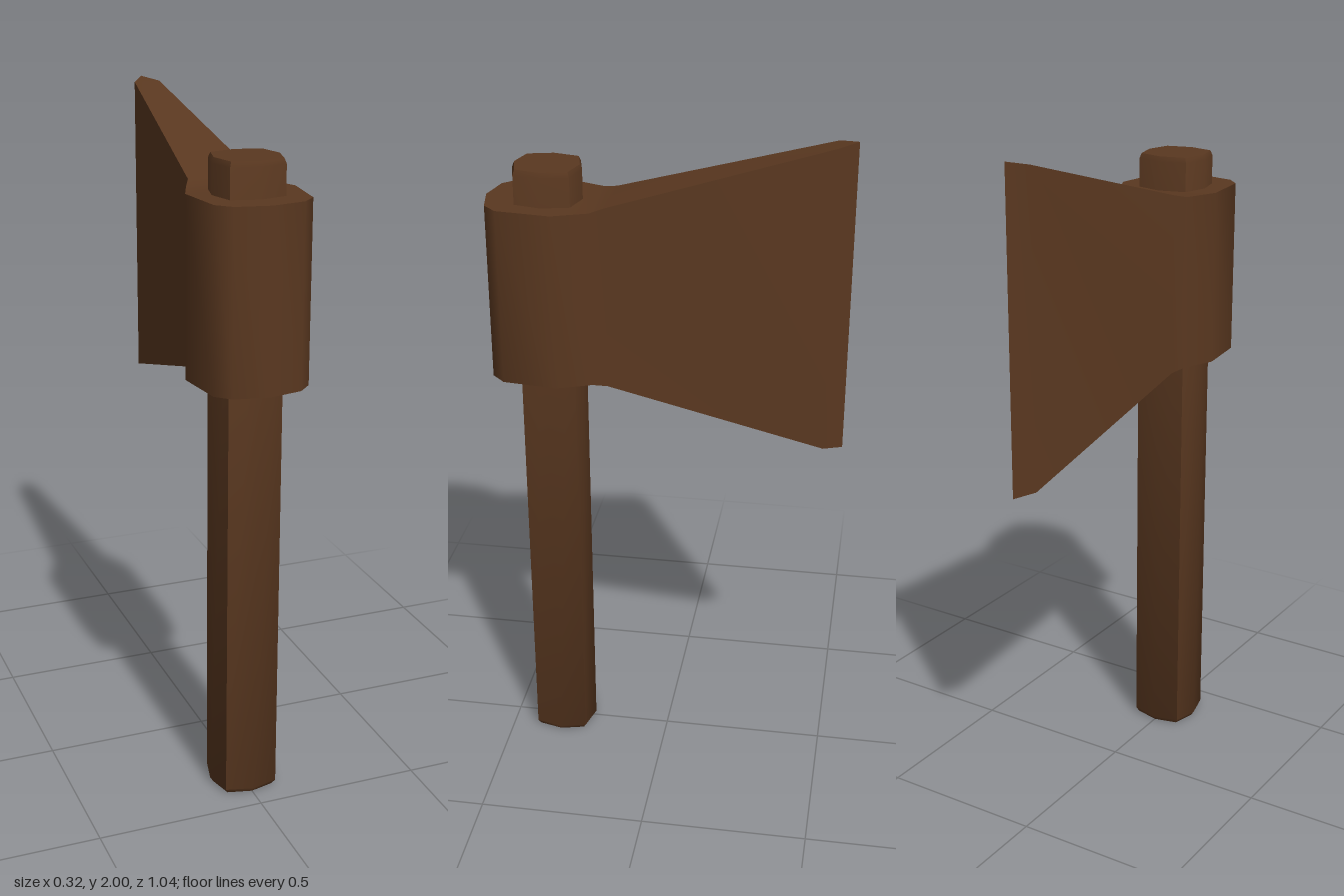
import * as THREE from 'three';
import { toCreasedNormals } from 'three/addons/utils/BufferGeometryUtils.js';

const wood = new THREE.MeshStandardMaterial({ color: 0x5a3820 });

// Skins a list of rings (arrays of Vector3, counter-clockwise about the sweep direction) and closes both ends
function loft(name, rings, crease) {
  const pos = [];
  const tri = (a, b, c) => {
    if (new THREE.Triangle(a, b, c).getArea() > 1e-7) pos.push(...a, ...b, ...c);
  };
  const n = rings[0].length;
  for (let i = 0; i < rings.length - 1; i++) {
    for (let j = 0; j < n; j++) {
      const k = (j + 1) % n;
      const [a, b, c, d] = [rings[i][j], rings[i][k], rings[i + 1][k], rings[i + 1][j]];
      tri(a, b, c);
      tri(a, c, d);
    }
  }
  const first = rings[0], last = rings[rings.length - 1];
  for (let j = 1; j < n - 1; j++) {
    tri(first[0], first[j + 1], first[j]);
    tri(last[0], last[j], last[j + 1]);
  }
  const geo = new THREE.BufferGeometry();
  geo.setAttribute('position', new THREE.Float32BufferAttribute(pos, 3));
  const mesh = new THREE.Mesh(toCreasedNormals(geo, crease), wood);
  mesh.name = name;
  return mesh;
}

export function createModel() {
  const group = new THREE.Group();
  group.name = 'axe';

  // Handle: eight-sided shaft with lightly bevelled ends
  const octagon = [[0, 0.1], [0.08, 0.08], [0.1, 0], [0.08, -0.08], [0, -0.1], [-0.08, -0.08], [-0.1, 0], [-0.08, 0.08]];
  const shaft = [[0, 0.9], [0.015, 1], [1.885, 1], [1.9, 0.94]];
  group.add(loft('handle', shaft.map(([y, s]) =>
    octagon.map(([x, z]) => new THREE.Vector3(x * s, y, 0.34 + z * s))), 0.95));

  // Head: sections from cutting edge to rounded back [z, half width, bottom, top]
  const sections = [
    [-0.525, 0, 1.075, 2.0],
    [-0.47, 0.04, 1.085, 1.99],
    [0.16, 0.1, 1.27, 1.81],
    [0.2, 0.12, 1.28, 1.8],
    [0.3, 0.16, 1.28, 1.8],
    [0.46, 0.14, 1.28, 1.8],
    [0.5, 0.1, 1.28, 1.8],
    [0.52, 0, 1.28, 1.8],
  ];
  group.add(loft('axeHead', sections.map(([z, w, lo, hi]) =>
    [[-w, lo], [w, lo], [w, hi], [-w, hi]].map(([x, y]) => new THREE.Vector3(x, y, z))), 0.95));

  return group;
}
